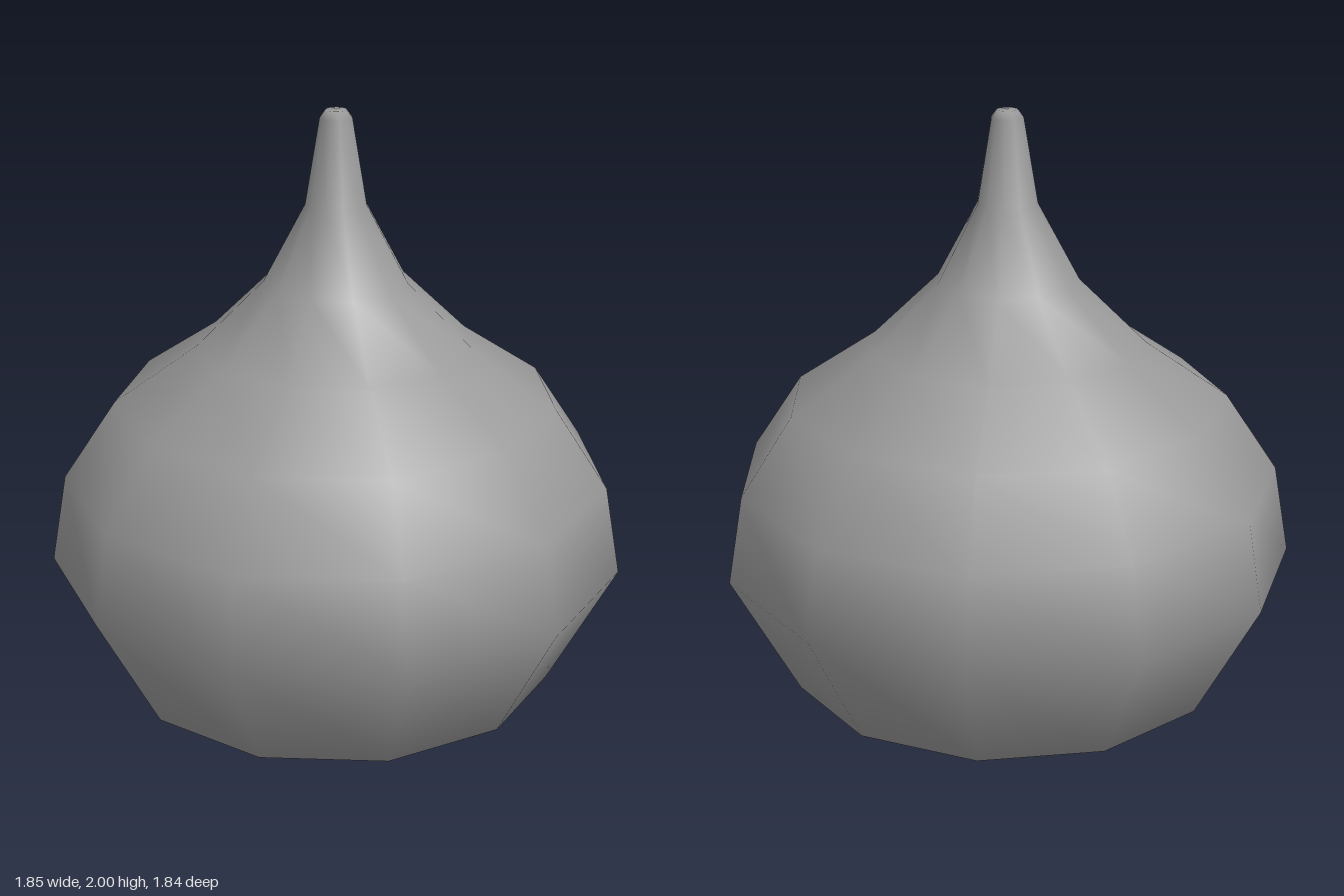
import * as THREE from 'three';

export function createModel() {
  const group = new THREE.Group();
  group.name = 'teardropBulb';

  // Profile from the base centre to the tip: [radius, height]
  const profile = [
    [0, 0], [0.3, 0], [0.715, 0.103], [0.937, 0.51], [0.887, 0.8],
    [0.717, 1.055], [0.45, 1.237], [0.232, 1.45], [0.098, 1.7],
    [0.052, 1.975], [0.034, 2], [0, 2],
  ].map(([r, y]) => new THREE.Vector2(r, y));

  // Eleven sides, one corner pointing straight back
  const geometry = new THREE.LatheGeometry(profile, 11, Math.PI);
  const bulb = new THREE.Mesh(
    geometry,
    new THREE.MeshStandardMaterial({ color: 0x999999 }),
  );
  bulb.name = 'bulb';
  bulb.position.z = 0.019; // centres the odd-sided outline
  group.add(bulb);

  return group;
}
